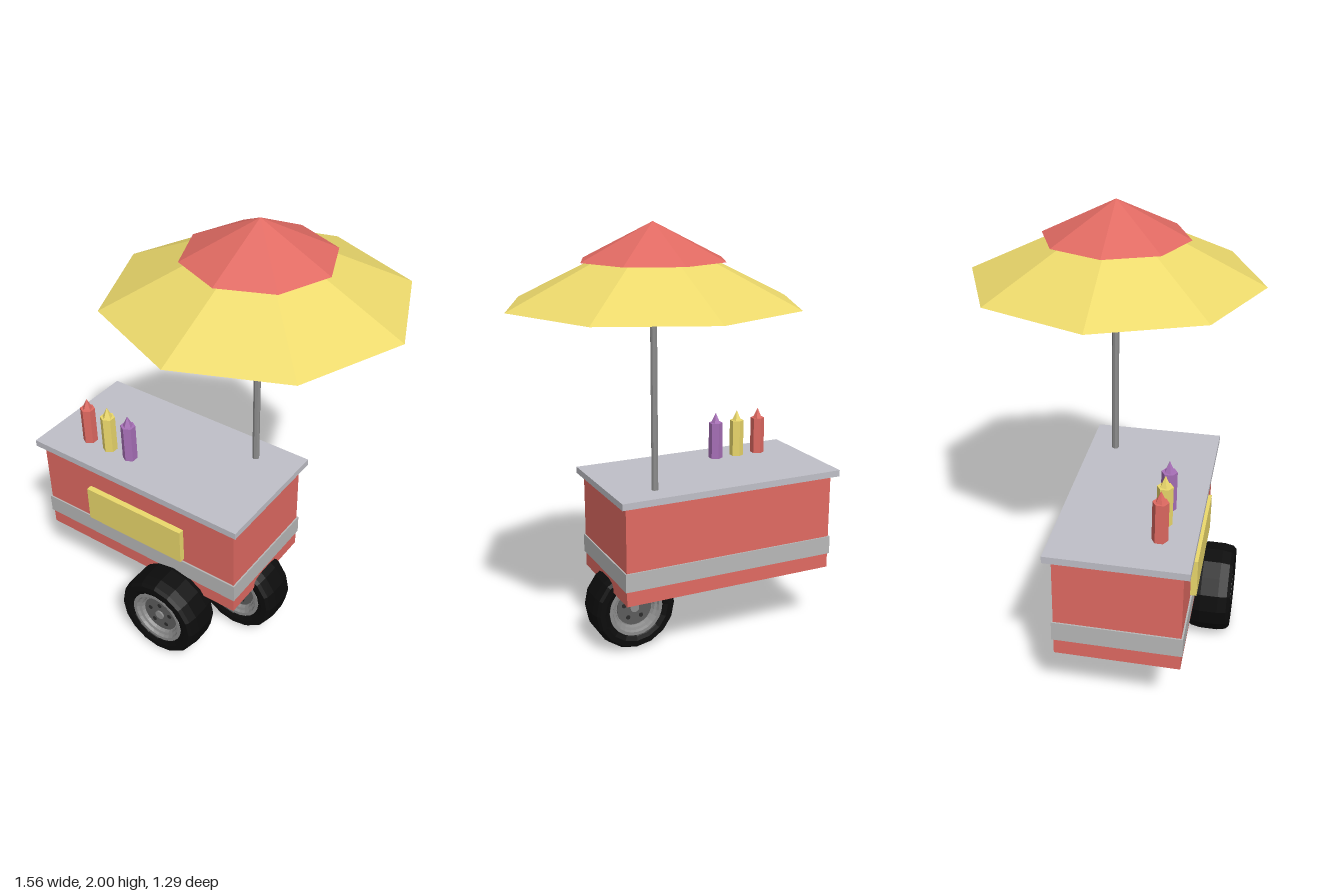
import * as THREE from 'three';

const paint = (color) => new THREE.MeshStandardMaterial({ color, flatShading: true });
const red = paint(0xe06a62), yellow = paint(0xecd96c), purple = paint(0xa870b8);
const counterGrey = paint(0xc0c0c8), bandGrey = paint(0xb8b8b8), poleGrey = paint(0x8c8c8c);
const rubber = paint(0x0c0c0c), rimGrey = paint(0x8c8c8c), discGrey = paint(0x5c5c5c), dark = paint(0x2c2c2c);

function add(parent, name, geometry, material, x = 0, y = 0, z = 0) {
  const mesh = new THREE.Mesh(geometry, material);
  mesh.name = name;
  mesh.position.set(x, y, z);
  parent.add(mesh);
  return mesh;
}

// Box given by its extents on each axis
function boxBetween(parent, name, material, [x0, x1], [y0, y1], [z0, z1]) {
  return add(parent, name, new THREE.BoxGeometry(x1 - x0, y1 - y0, z1 - z0), material,
    (x0 + x1) / 2, (y0 + y1) / 2, (z0 + z1) / 2);
}

// Ring or disc turned around the z axis, from [radius, z] pairs
function turned(pairs, segments) {
  const points = pairs.map(([r, z]) => new THREE.Vector2(r, z));
  return new THREE.LatheGeometry(points, segments).rotateX(Math.PI / 2);
}

function makeWheel(name, x, y, z) {
  const wheel = new THREE.Group();
  wheel.name = name;
  wheel.position.set(x, y, z);

  // Tyre with rounded shoulders
  add(wheel, 'tyre', turned([
    [0.13, -0.075], [0.14, -0.088], [0.16, -0.095], [0.186, -0.094], [0.198, -0.08], [0.206, -0.04],
    [0.206, 0.04], [0.198, 0.08], [0.186, 0.094], [0.16, 0.095], [0.14, 0.088], [0.13, 0.075], [0.13, -0.075],
  ], 16), rubber);

  // Rim with a raised lip and a recessed face on both sides
  add(wheel, 'rim', turned([
    [0, -0.055], [0.094, -0.055], [0.1, -0.07], [0.112, -0.074], [0.118, -0.086], [0.134, -0.086],
    [0.134, 0.086], [0.118, 0.086], [0.112, 0.074], [0.1, 0.07], [0.094, 0.055], [0, 0.055],
  ], 24), rimGrey);

  // Hub disc, cap and five bolts, showing on both faces
  const bar = (r, depth, sides) => new THREE.CylinderGeometry(r, r, depth, sides).rotateX(Math.PI / 2);
  add(wheel, 'hubDisc', bar(0.088, 0.12, 24), discGrey);
  add(wheel, 'hubCap', bar(0.022, 0.136, 12), rimGrey);
  for (let i = 0; i < 5; i++) {
    const a = Math.PI / 2 + i * Math.PI * 2 / 5;
    add(wheel, 'bolt', bar(0.011, 0.126, 8), dark, Math.cos(a) * 0.056, Math.sin(a) * 0.056, 0);
  }
  return wheel;
}

function makeBottle(name, material, x) {
  const bottle = new THREE.Group();
  bottle.name = name;
  bottle.position.set(x, 0.82, 0.32);
  add(bottle, 'bottleBody', new THREE.CylinderGeometry(0.034, 0.034, 0.185, 6), material, 0, 0.0925, 0);
  add(bottle, 'nozzle', new THREE.ConeGeometry(0.026, 0.055, 5), material, 0, 0.2075, 0);
  return bottle;
}

export function createModel() {
  const cart = new THREE.Group();
  cart.name = 'foodCart';

  // Cart body
  boxBetween(cart, 'body', red, [-0.75, 0.308], [0.322, 0.8], [-0.087, 0.443]);
  boxBetween(cart, 'trimBand', bandGrey, [-0.757, 0.315], [0.395, 0.483], [-0.094, 0.45]);
  boxBetween(cart, 'counter', counterGrey, [-0.78, 0.335], [0.795, 0.826], [-0.118, 0.47]);
  boxBetween(cart, 'frontPanel', yellow, [-0.485, 0.042], [0.498, 0.673], [0.43, 0.47]);

  // Sauce bottles
  cart.add(makeBottle('redBottle', red, -0.575));
  cart.add(makeBottle('yellowBottle', yellow, -0.457));
  cart.add(makeBottle('purpleBottle', purple, -0.34));

  // Parasol
  const parasol = new THREE.Group();
  parasol.name = 'parasol';
  parasol.position.x = 0.13;
  add(parasol, 'pole', new THREE.CylinderGeometry(0.016, 0.016, 0.9, 8), poleGrey, 0, 1.27, 0);
  add(parasol, 'canopy', new THREE.ConeGeometry(0.645, 0.31, 8), yellow, 0, 1.815, 0);
  add(parasol, 'canopyTop', new THREE.ConeGeometry(0.322, 0.158, 8), red, 0, 1.921, 0);
  cart.add(parasol);

  // Wheels
  cart.add(makeWheel('frontWheel', -0.016, 0.208, 0.503));
  cart.add(makeWheel('rearWheel', 0.19, 0.208, 0.178));
  return cart;
}
